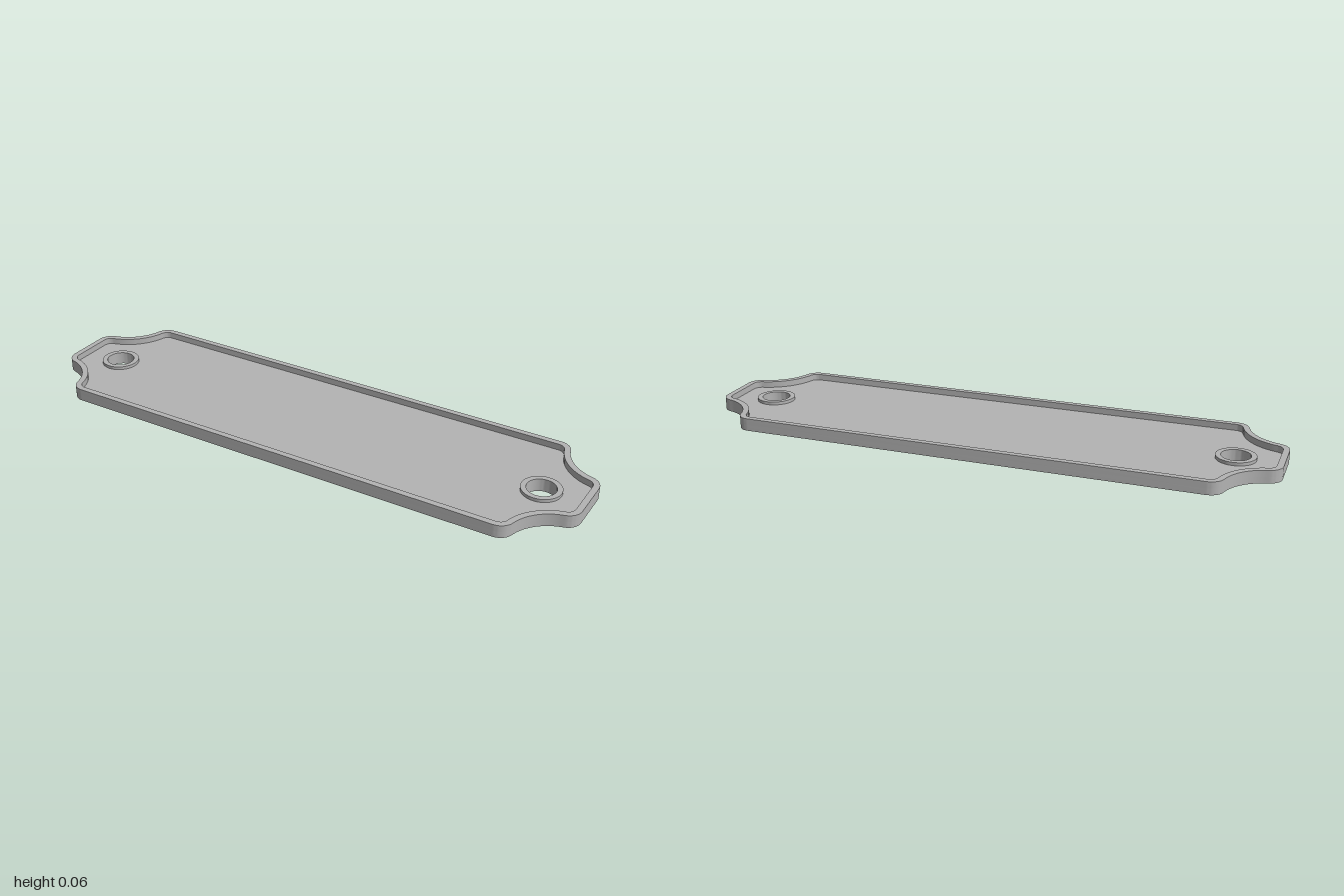
import * as THREE from 'three';
import { toCreasedNormals } from 'three/addons/utils/BufferGeometryUtils.js';

const HALF_X = 1, HALF_Z = 0.277;    // plate half extents
const SCOOP = 0.16, ROUND = 0.05;    // concave corner and fillet radii
const RIM = 0.021;                   // rim width
const BASE = 0.012, FLOOR = 0.034, TOP = 0.056;
const HOLE_X = 0.84, HOLE_R = 0.049, BOSS_R = 0.067;

// Plate outline with scooped, filleted corners, moved inward by t
function outline(t) {
  const d = Math.sqrt((SCOOP + ROUND) ** 2 - ROUND ** 2);
  const arc = (cx, cy, r, a0, a1, n) => Array.from({ length: n + 1 }, (_, i) => {
    const a = a0 + (a1 - a0) * i / n;
    return [cx + r * Math.cos(a), cy + r * Math.sin(a)];
  });
  const b = Math.asin(ROUND / (SCOOP + ROUND));
  const corner = [
    ...arc(HALF_X - ROUND, HALF_Z - d, ROUND - t, 0, Math.PI / 2 - b, 10),
    ...arc(HALF_X, HALF_Z, SCOOP + t, 1.5 * Math.PI - b, Math.PI + b, 18).slice(1, -1),
    ...arc(HALF_X - d, HALF_Z - ROUND, ROUND - t, b, Math.PI / 2, 10),
  ];
  const flip = (sx, sy) => corner.map(([x, y]) => new THREE.Vector2(x * sx, y * sy));
  return [...flip(1, 1), ...flip(-1, 1).reverse(), ...flip(-1, -1), ...flip(1, -1).reverse()];
}

// Extrude a shape upward between two heights
function slab(shape, y0, y1) {
  const g = new THREE.ExtrudeGeometry(shape, { depth: y1 - y0, bevelEnabled: false, curveSegments: 48 });
  g.rotateX(-Math.PI / 2).translate(0, y0, 0);
  return toCreasedNormals(g, 0.5);
}

export function createModel() {
  const group = new THREE.Group();
  const grey = new THREE.MeshStandardMaterial({ color: 0xb3b3b3 });
  grey.name = 'grey';
  const add = (name, geometry) => {
    const mesh = new THREE.Mesh(geometry, grey);
    mesh.name = name;
    group.add(mesh);
    return mesh;
  };

  // Floor of the tray with two screw holes
  const floor = new THREE.Shape(outline(0));
  for (const s of [-1, 1]) floor.holes.push(new THREE.Path().absarc(s * HOLE_X, 0, HOLE_R, 0, Math.PI * 2, true));
  add('basePlate', slab(floor, BASE, FLOOR));

  // Raised border
  const rim = new THREE.Shape(outline(0));
  rim.holes.push(new THREE.Path(outline(RIM).reverse()));
  add('raisedRim', slab(rim, FLOOR, TOP));

  // Bosses around the holes, standing proud above and below
  const profile = [
    [HOLE_R, 0], [BOSS_R, 0], [BOSS_R, FLOOR + 0.011], [HOLE_R, FLOOR + 0.011], [HOLE_R, 0],
  ].map(([x, y]) => new THREE.Vector2(x, y));
  for (const s of [-1, 1]) {
    const boss = add(s > 0 ? 'leftHoleBoss' : 'rightHoleBoss',
      toCreasedNormals(new THREE.LatheGeometry(profile, 48), 0.5));
    boss.position.x = s * HOLE_X;
  }
  return group;
}
